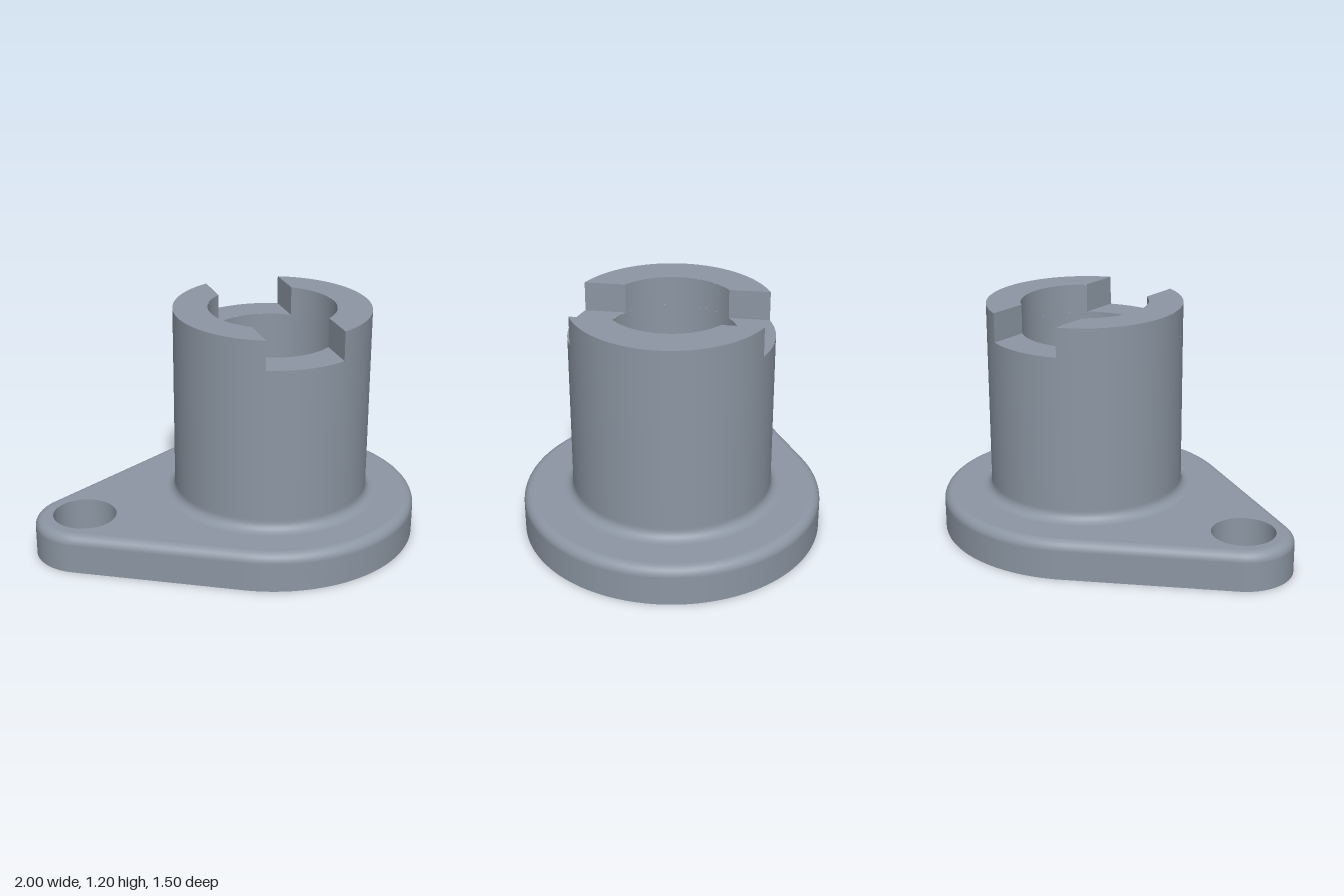
import * as THREE from 'three';

const steel = new THREE.MeshStandardMaterial({ color: 0x8c96a3 });
steel.name = 'blueGreySteel';

const CX = 0.25, LUG_X = -0.75;            // collar and lug centres
const BIG = 0.75, SMALL = 0.25;            // flange end radii
const OUTER = 0.5, BORE = 0.325, LUG_HOLE = 0.16;
const FLANGE = 0.2, NOTCH_Y = 1.05, TOP = 1.2, NOTCH_HALF = 0.2, FILLET = 0.05;

// Flange outline, pulled in by d: two arcs joined by tangent lines
function outline(d, steps = 64) {
  const points = [];
  const arc = (cx, r, from, to, n) => {
    for (let i = 0; i <= n; i++) {
      const t = from + (to - from) * i / n;
      points.push({ x: cx + (r - d) * Math.cos(t), y: (r - d) * Math.sin(t), t });
    }
  };
  arc(CX, BIG, -Math.PI * 2 / 3, Math.PI * 2 / 3, steps * 1.5);
  arc(LUG_X, SMALL, Math.PI * 2 / 3, Math.PI * 4 / 3, steps / 2);
  return points;
}

// Flange wall with its rounded upper edge, lofted from inset outlines
function flangeWall() {
  const rows = [{ d: 0, y: 0, a: 0 }];
  for (let i = 0; i <= 8; i++) {
    const a = Math.PI / 2 * i / 8;
    rows.push({ d: FILLET * (1 - Math.cos(a)), y: FLANGE - FILLET * (1 - Math.sin(a)), a });
  }
  const pos = [], nor = [], idx = [];
  const n = outline(0).length;
  rows.forEach(({ d, y, a }, j) => {
    outline(d).forEach((p, i) => {
      pos.push(p.x, y, -p.y);
      nor.push(Math.cos(a) * Math.cos(p.t), Math.sin(a), -Math.cos(a) * Math.sin(p.t));
      if (j === rows.length - 1) return;
      const p0 = j * n + i, p1 = j * n + (i + 1) % n;
      idx.push(p0, p1, p0 + n, p1, p1 + n, p0 + n);
    });
  });
  const g = new THREE.BufferGeometry();
  g.setAttribute('position', new THREE.Float32BufferAttribute(pos, 3));
  g.setAttribute('normal', new THREE.Float32BufferAttribute(nor, 3));
  g.setIndex(idx);
  return g;
}

// Flange face with a round opening at the collar and the lug hole
function flangeFace(inset, opening) {
  const shape = new THREE.Shape(outline(inset).map(p => new THREE.Vector2(p.x, p.y)));
  shape.holes.push(new THREE.Path().absarc(CX, 0, opening, 0, Math.PI * 2, true));
  shape.holes.push(new THREE.Path().absarc(LUG_X, 0, LUG_HOLE, 0, Math.PI * 2, true));
  return new THREE.ShapeGeometry(shape, 96);
}

// Flat piece of the collar ring, with its own half angle on each radius
function ringPiece(mid, outerHalf, innerHalf) {
  const shape = new THREE.Shape();
  shape.absarc(0, 0, OUTER, mid - outerHalf, mid + outerHalf, false);
  shape.absarc(0, 0, BORE, mid + innerHalf, mid - innerHalf, true);
  return new THREE.ShapeGeometry(shape, 40).rotateX(-Math.PI / 2);
}

// Turned surface: points going up face outward, going down face inward
function turned(points, start = 0, length = Math.PI * 2, segments = 96) {
  return new THREE.LatheGeometry(points.map(p => new THREE.Vector2(...p)), segments, start, length);
}

export function createModel() {
  const model = new THREE.Group();
  model.name = 'flangedCollar';
  const flange = new THREE.Group();
  flange.name = 'flange';
  const collar = new THREE.Group();
  collar.name = 'collar';
  collar.position.x = CX;
  model.add(flange, collar);

  const add = (parent, name, geometry, x = 0, y = 0, z = 0) => {
    const mesh = new THREE.Mesh(geometry, steel);
    mesh.name = name;
    mesh.position.set(x, y, z);
    parent.add(mesh);
    return mesh;
  };

  // Flange plate
  add(flange, 'flangeWall', flangeWall());
  add(flange, 'flangeTop', flangeFace(FILLET, OUTER + FILLET).rotateX(-Math.PI / 2), 0, FLANGE);
  add(flange, 'flangeBottom', flangeFace(0, BORE).rotateX(Math.PI / 2));
  add(flange, 'lugHole', turned([[LUG_HOLE, FLANGE], [LUG_HOLE, 0]]), LUG_X);

  // Collar body with the fillet at its foot
  const profile = [];
  for (let i = 0; i <= 8; i++) {
    const t = Math.PI / 2 * i / 8;
    profile.push([OUTER + FILLET * (1 - Math.sin(t)), FLANGE + FILLET * (1 - Math.cos(t))]);
  }
  profile.push([OUTER, FLANGE + FILLET + 0.01], [OUTER, NOTCH_Y]);
  add(collar, 'collarWall', turned(profile));
  add(collar, 'bore', turned([[BORE, NOTCH_Y], [BORE, 0]]));

  // Notch floors at front and back
  const ao = Math.asin(NOTCH_HALF / OUTER), ai = Math.asin(NOTCH_HALF / BORE);
  for (const s of [1, -1]) {
    add(collar, 'notchFloor', ringPiece(s * Math.PI / 2, ao, ai), 0, NOTCH_Y);
  }

  // Two raised jaws, left and right
  const zo = OUTER * Math.cos(ao), zi = BORE * Math.cos(ai);
  for (const s of [1, -1]) {
    const base = s > 0 ? 0 : Math.PI;
    const jaw = new THREE.Group();
    jaw.name = s > 0 ? 'leftJaw' : 'rightJaw';
    collar.add(jaw);
    add(jaw, 'jawOuterWall', turned([[OUTER, NOTCH_Y], [OUTER, TOP]], base + ao, Math.PI - 2 * ao, 40));
    add(jaw, 'jawInnerWall', turned([[BORE, TOP], [BORE, NOTCH_Y]], base + ai, Math.PI - 2 * ai, 40));
    add(jaw, 'jawTop', ringPiece(base, Math.PI / 2 - ao, Math.PI / 2 - ai), 0, TOP);
    for (const e of [1, -1]) {
      const side = new THREE.PlaneGeometry(zo - zi, TOP - NOTCH_Y).rotateY(-s * Math.PI / 2);
      add(jaw, 'jawSide', side, s * NOTCH_HALF, (TOP + NOTCH_Y) / 2, e * (zo + zi) / 2);
    }
  }
  return model;
}
